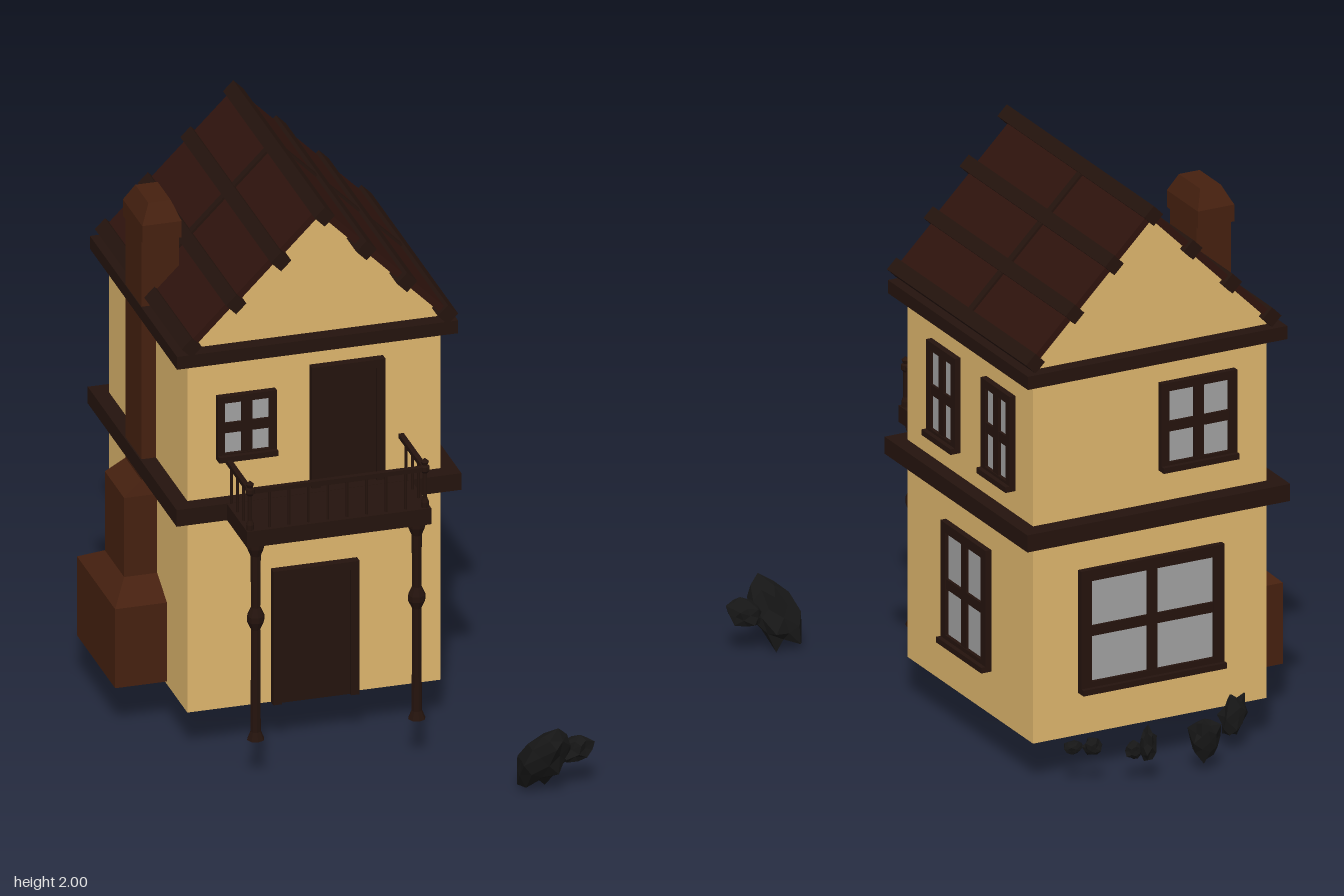
import * as THREE from 'three';

const mat = (color) => new THREE.MeshStandardMaterial({ color, flatShading: true });
const sand = mat(0xdcb46c), wood = mat(0x24130d), roofWood = mat(0x2e130d);
const brick = mat(0x45200f), glass = mat(0xa0a0a0), stone = mat(0x161616);

function add(parent, name, geometry, material) {
  const mesh = new THREE.Mesh(geometry, material);
  mesh.name = name;
  parent.add(mesh);
  return mesh;
}

// Box given by its minimum and maximum on each axis
function box(parent, name, material, x0, x1, y0, y1, z0, z1) {
  const mesh = add(parent, name, new THREE.BoxGeometry(x1 - x0, y1 - y0, z1 - z0), material);
  mesh.position.set((x0 + x1) / 2, (y0 + y1) / 2, (z0 + z1) / 2);
  return mesh;
}

function group(parent, name) {
  const g = new THREE.Group();
  g.name = name;
  parent.add(g);
  return g;
}

// Four-pane window, centred, facing local +z with the wall at z = 0
function makeWindow(parent, name, w, h, f) {
  const g = group(parent, name);
  const a = w / 2, b = h / 2, d = 0.022;
  box(g, 'glass', glass, -a + f / 2, a - f / 2, -b + f / 2, b - f / 2, 0, 0.01);
  for (const s of [-1, 1]) {
    box(g, 'stile', wood, s * (a - f / 2) - f / 2, s * (a - f / 2) + f / 2, -b, b, 0, d);
    box(g, 'rail', wood, -a + f, a - f, s * (b - f / 2) - f / 2, s * (b - f / 2) + f / 2, 0, d);
  }
  box(g, 'mullion', wood, -0.018, 0.018, -b + f, b - f, 0, d - 0.002);
  box(g, 'crossbar', wood, -a + f, a - f, -0.018, 0.018, 0, d - 0.003);
  box(g, 'sill', wood, -a, a, -b, -b + 0.02, 0, 0.038);
  return g;
}

function makeDoor(parent, name, x0, x1, y0, y1) {
  const g = group(parent, name), z = 0.172, f = 0.03;
  box(g, 'doorPanel', wood, x0 + f, x1 - f, y0, y1 - f, z, z + 0.018);
  box(g, 'jamb', wood, x0, x0 + f, y0, y1, z, z + 0.03);
  box(g, 'jamb', wood, x1 - f, x1, y0, y1, z, z + 0.03);
  box(g, 'lintel', wood, x0 + f, x1 - f, y1 - f, y1, z, z + 0.03);
}

// Tapered solid through stacked rectangles [y, x0, x1, z0, z1]
function stackedRects(levels) {
  const pos = [], idx = [];
  for (const [y, x0, x1, z0, z1] of levels) pos.push(x0, y, z1, x1, y, z1, x1, y, z0, x0, y, z0);
  const n = levels.length;
  for (let i = 0; i < n - 1; i++) for (let j = 0; j < 4; j++) {
    const a = i * 4 + j, b = i * 4 + (j + 1) % 4;
    idx.push(a, b, b + 4, a, b + 4, a + 4);
  }
  const t = (n - 1) * 4;
  idx.push(0, 2, 1, 0, 3, 2, t, t + 1, t + 2, t, t + 2, t + 3);
  const geo = new THREE.BufferGeometry();
  geo.setAttribute('position', new THREE.Float32BufferAttribute(pos, 3));
  geo.setIndex(idx);
  const flat = geo.toNonIndexed();
  flat.computeVertexNormals();
  return flat;
}

function turned(points, sides = 8) {
  return new THREE.LatheGeometry(points.map(([r, y]) => new THREE.Vector2(r, y)), sides);
}

// Jagged rock: an icosahedron with uneven radii, scaled and leaning
function makeRock(parent, [x, y, z, rx, ry, rz, leanX, leanZ], seed) {
  const geo = new THREE.IcosahedronGeometry(1, 1);
  const p = geo.attributes.position, v = new THREE.Vector3();
  for (let i = 0; i < p.count; i++) {
    v.fromBufferAttribute(p, i);
    const wave = Math.sin(v.x * 5.1 + seed * 2.3) * Math.cos(v.y * 4.3 + seed) * Math.sin(v.z * 4.7 + seed * 1.7);
    v.multiplyScalar(0.9 + 0.35 * wave);
    p.setXYZ(i, v.x * rx + v.y * leanX, v.y * ry, v.z * rz + v.y * leanZ);
  }
  geo.computeVertexNormals();
  add(parent, 'rock', geo, stone).position.set(x, y, z);
}

export function createModel() {
  const model = new THREE.Group();
  model.name = 'house';

  // Walls, gable and floor bands
  box(model, 'walls', sand, -0.52, 0.36, 0.15, 1.46, -0.717, 0.172);
  const tri = new THREE.Shape([[-0.52, 1.45], [0.36, 1.45], [0.36, 1.51], [-0.08, 1.95], [-0.52, 1.51]]
    .map(([x, y]) => new THREE.Vector2(x, y)));
  add(model, 'gable', new THREE.ExtrudeGeometry(tri, { depth: 0.889, bevelEnabled: false }), sand).position.z = -0.717;
  box(model, 'floorBand', wood, -0.575, 0.415, 0.866, 0.927, -0.78, 0.23);
  box(model, 'eavesBand', wood, -0.572, 0.405, 1.44, 1.487, -0.765, 0.225);

  // Roof: three plank tiers per slope, with beams between them
  const beamFront = [0.295, 0.285, 0.26, 0.24], tierFront = [0.24, 0.235, 0.225], step = 0.21;
  for (const [name, angle] of [['leftSlope', -Math.PI / 4], ['rightSlope', -3 * Math.PI / 4]]) {
    const slope = group(model, name);
    slope.position.set(-0.08, 1.965, 0);
    slope.rotation.z = angle;
    for (let i = 0; i < 3; i++) {
      const a = i * step, b = a + step;
      box(slope, 'roofPlank', roofWood, a, b, -0.012, 0.012, -0.73, tierFront[i]);
      box(slope, 'batten', wood, a, b, -0.02, 0.02, -0.29, -0.262);
      box(slope, 'roofBeam', wood, b - 0.025, b + 0.025, -0.025, 0.025, -0.745, beamFront[i + 1]);
    }
  }
  const ridge = box(model, 'ridgeBeam', wood, -0.105, -0.055, 1.94, 1.99, -0.745, beamFront[0]);
  ridge.rotation.z = Math.PI / 4;

  // Chimney
  add(model, 'chimneyStack', stackedRects([
    [0.16, -0.7, -0.5, -0.493, -0.06], [0.45, -0.7, -0.5, -0.493, -0.06],
    [0.51, -0.635, -0.5, -0.39, -0.17], [0.8, -0.635, -0.5, -0.39, -0.17],
    [0.85, -0.57, -0.44, -0.37, -0.185], [1.73, -0.57, -0.44, -0.37, -0.185]]), brick);
  add(model, 'chimneyCap', stackedRects([
    [1.73, -0.572, -0.435, -0.39, -0.17], [1.79, -0.572, -0.435, -0.39, -0.17],
    [1.855, -0.54, -0.462, -0.355, -0.205]]), brick);

  // Doors and windows
  makeDoor(model, 'frontDoor', -0.23, 0.07, 0.15, 0.64);
  makeDoor(model, 'balconyDoor', -0.095, 0.16, 0.92, 1.37);
  makeWindow(model, 'frontWindow', 0.205, 0.235, 0.025).position.set(-0.318, 1.185, 0.172);
  const sideWindows = [[-0.102, 1.18, 0.205, 0.34, 0.03], [-0.49, 1.18, 0.205, 0.34, 0.03], [-0.262, 0.522, 0.32, 0.435, 0.035]];
  for (const [z, y, w, h, f] of sideWindows) {
    const win = makeWindow(model, 'sideWindow', w, h, f);
    win.position.set(0.36, y, z);
    win.rotation.y = Math.PI / 2;
  }
  for (const [x, y, w, h, f] of [[-0.255, 1.197, 0.285, 0.315, 0.03], [-0.08, 0.52, 0.54, 0.44, 0.04]]) {
    const win = makeWindow(model, 'backWindow', w, h, f);
    win.position.set(x, y, -0.717);
    win.rotation.y = Math.PI;
  }

  // Balcony on two turned posts
  const balcony = group(model, 'balcony');
  box(balcony, 'balconyFloor', wood, -0.4, 0.24, 0.867, 0.926, 0.172, 0.46);
  const postShape = turned([[0, 0.145], [0.03, 0.145], [0.018, 0.175], [0.016, 0.55], [0.03, 0.58],
    [0.03, 0.6], [0.016, 0.63], [0.018, 0.82], [0.03, 0.85], [0.03, 0.868]]);
  const newelShape = turned([[0.014, 0.92], [0.014, 0.945], [0.008, 0.96], [0.008, 1.05], [0.016, 1.06],
    [0.016, 1.075], [0.009, 1.08], [0.014, 1.092], [0, 1.105]]);
  const spindle = new THREE.CylinderGeometry(0.005, 0.005, 0.14, 6);
  for (const x of [-0.36, 0.2]) add(balcony, 'post', postShape, wood).position.set(x, 0, 0.425);
  for (const x of [-0.385, 0.223]) {
    add(balcony, 'newel', newelShape, wood).position.set(x, 0, 0.442);
    box(balcony, 'sideRail', wood, x - 0.009, x + 0.009, 1.058, 1.074, 0.172, 0.442);
    for (let i = 0; i < 3; i++) add(balcony, 'spindle', spindle, wood).position.set(x, 0.993, 0.37 - i * 0.07);
  }
  box(balcony, 'frontRail', wood, -0.385, 0.223, 1.058, 1.074, 0.433, 0.451);
  for (let i = 1; i < 9; i++) add(balcony, 'spindle', spindle, wood).position.set(-0.385 + i * 0.0676, 0.993, 0.442);

  // Scattered rocks: centre, radii, lean
  const rocks = [
    [0.525, 0.122, 0.8, 0.09, 0.122, 0.075, 0.035, 0.05], [0.635, 0.14, 0.8, 0.068, 0.055, 0.048, 0.015, 0.01],
    [-0.385, 0.12, -0.735, 0.045, 0.075, 0.045, -0.015, 0], [-0.213, 0.11, -0.855, 0.06, 0.085, 0.046, 0.01, -0.01],
    [0.005, 0.13, -0.865, 0.032, 0.065, 0.03, 0, 0], [0.05, 0.115, -0.845, 0.035, 0.035, 0.022, 0, 0],
    [0.185, 0.14, -0.81, 0.034, 0.034, 0.026, 0, 0], [0.24, 0.135, -0.775, 0.036, 0.026, 0.026, 0, 0]];
  const pile = group(model, 'rocks');
  rocks.forEach((r, i) => makeRock(pile, r, i + 1));

  return model;
}
